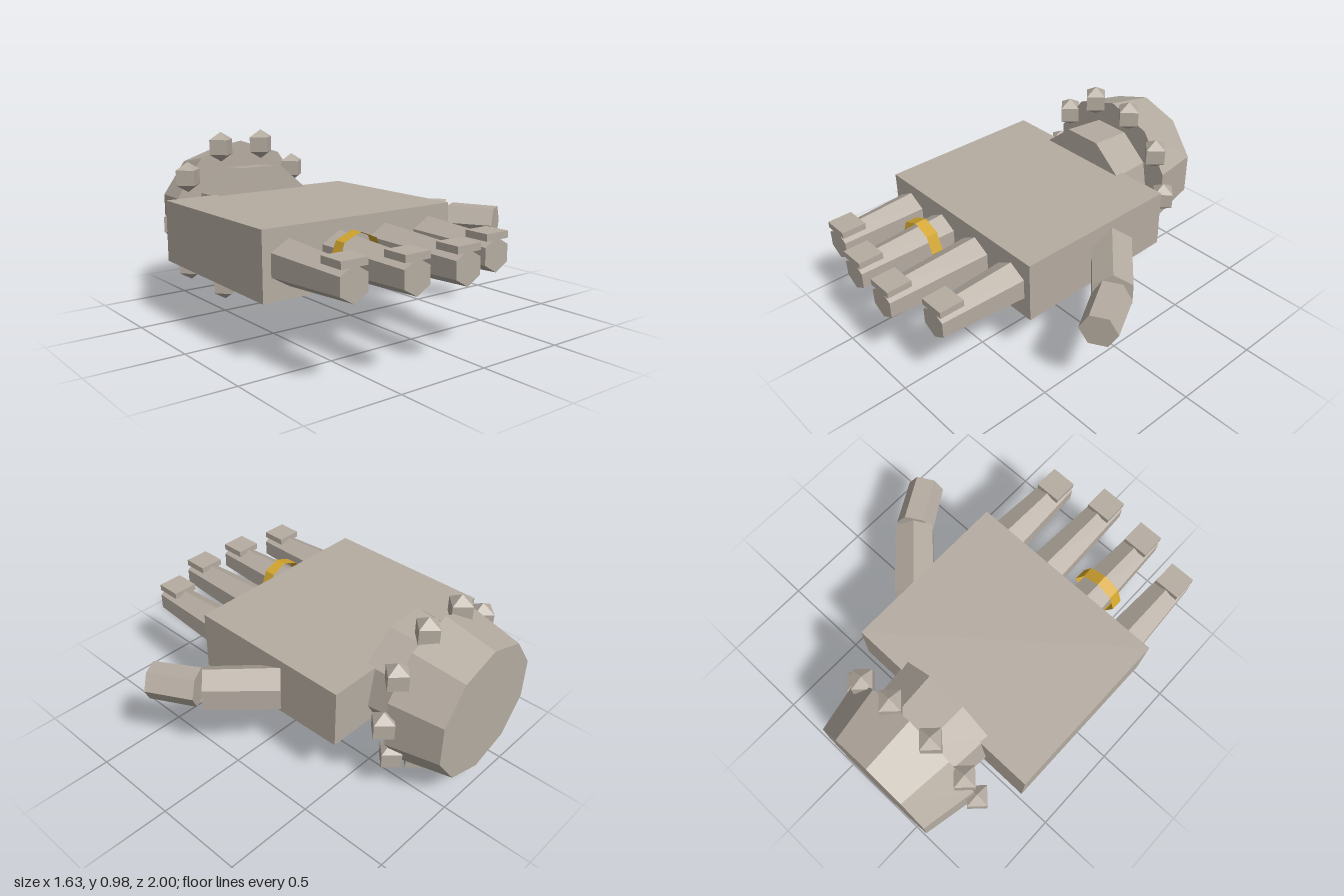
import * as THREE from 'three';

export function createModel() {
  const stone = new THREE.MeshStandardMaterial({ color: 0xb5aca1, flatShading: true });
  stone.name = 'warm grey stone';
  const gold = new THREE.MeshStandardMaterial({ color: 0xd2a52e, flatShading: true, side: THREE.DoubleSide });
  gold.name = 'gold';

  const model = new THREE.Group();
  model.name = 'stoneHand';
  const MID = 0.488; // height of the hand's centre line

  function add(name, geometry, material, x, y, z) {
    const mesh = new THREE.Mesh(geometry, material);
    mesh.name = name;
    mesh.position.set(x, y, z);
    model.add(mesh);
    return mesh;
  }

  // Tapered prism from [x, z] to [x, z], one corner pointing straight down unless rolled
  function prism(name, from, to, r0, r1, sides, { roll = 0, open = false, material = stone } = {}) {
    const length = Math.hypot(to[0] - from[0], to[1] - from[1]);
    const geometry = new THREE.CylinderGeometry(r1, r0, length, sides, 1, open);
    geometry.rotateY(roll);
    geometry.rotateX(Math.PI / 2);
    const mesh = add(name, geometry, material, (from[0] + to[0]) / 2, MID, (from[1] + to[1]) / 2);
    mesh.rotation.y = Math.atan2(to[0] - from[0], to[1] - from[1]);
    return mesh;
  }

  // Palm: a slab whose underside rises slightly toward the wrist
  const palm = new THREE.BoxGeometry(1.13, 0.34, 0.945);
  const p = palm.attributes.position;
  for (let i = 0; i < p.count; i++) {
    if (p.getY(i) < 0 && p.getZ(i) < 0) p.setY(i, p.getY(i) + 0.015);
  }
  add('palm', palm, stone, -0.253, 0.485, -0.048);

  // Wrist and flared cuff
  prism('wrist', [-0.25, -0.72], [-0.25, -0.47], 0.3, 0.325, 9);
  prism('cuff', [-0.25, -1], [-0.25, -0.71], 0.37, 0.43, 10);

  // Ring of studs around the cuff
  const stud = new THREE.SphereGeometry(0.084, 4, 3);
  for (let i = 0; i < 10; i++) {
    const a = (i * Math.PI) / 5;
    add('cuffStud', stud, stone, -0.25 + 0.425 * Math.cos(a), MID + 0.404 * Math.sin(a) / Math.sin(Math.PI * 0.4), -0.705);
  }

  // Fingers with nails: [base x, tip x, tip z]
  const fingers = [
    [-0.675, -0.673, 0.9],
    [-0.392, -0.395, 0.975],
    [-0.112, -0.115, 0.997],
    [0.172, 0.168, 0.9],
  ];
  for (const [x0, x1, tip] of fingers) {
    prism('finger', [x0, 0.38], [x1, tip - 0.002], 0.115, 0.085, 6);
    add('fingernail', new THREE.BoxGeometry(0.142, 0.035, 0.137), stone, x1 - 0.001, 0.578, tip - 0.067);
  }

  // Thin band around the second finger
  prism('fingerRing', [-0.395, 0.525], [-0.395, 0.59], 0.131, 0.131, 8, { open: true, material: gold });

  // Two-part thumb
  prism('thumbBase', [0.31, -0.145], [0.585, 0.13], 0.121, 0.116, 6);
  prism('thumbTip', [0.6, 0.148], [0.73, 0.371], 0.103, 0.098, 6, { roll: Math.PI / 6 });

  return model;
}
